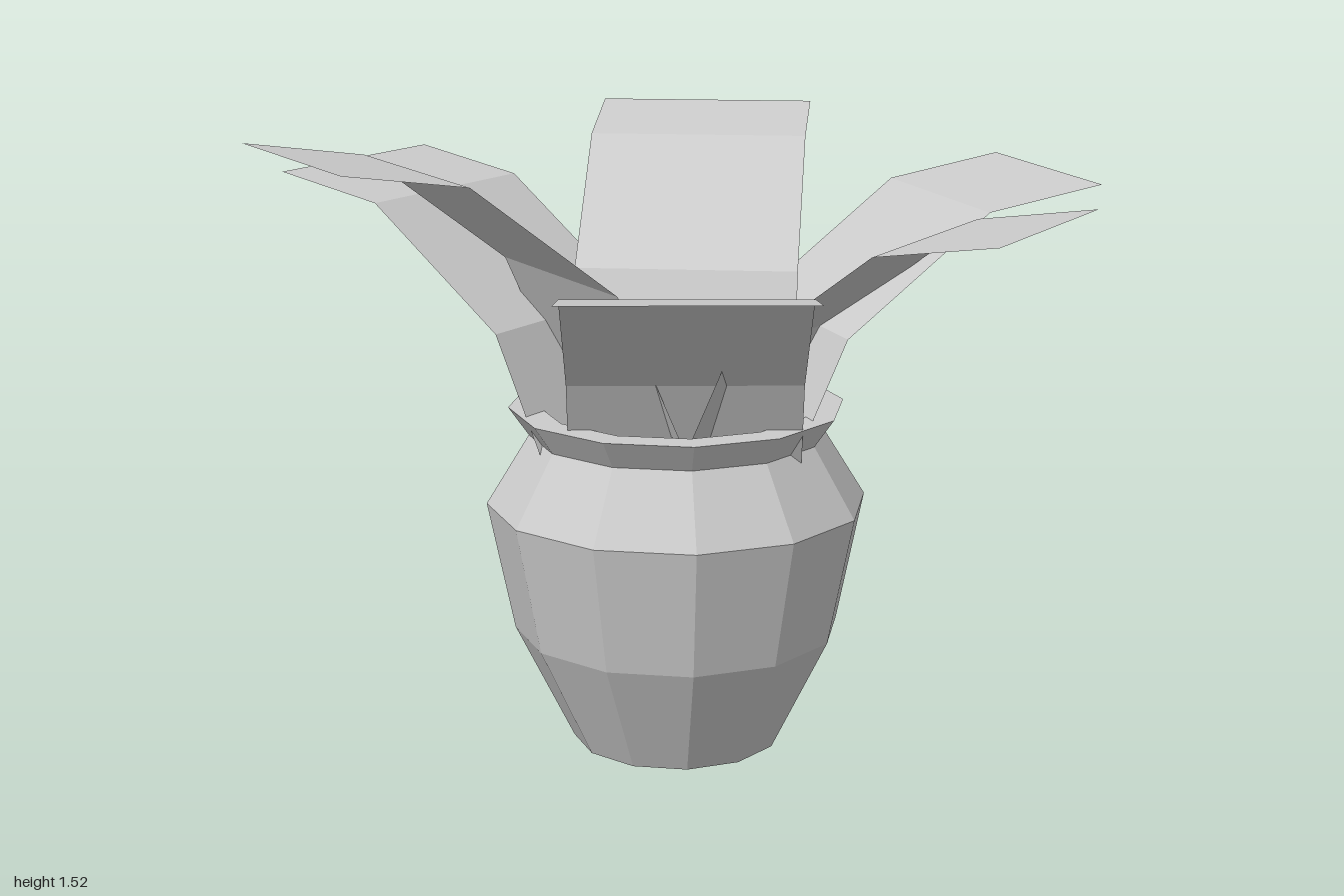
import * as THREE from 'three';

const grey = () => new THREE.MeshStandardMaterial({ color: 0xcccccc, flatShading: true });

// Leaf strip: tip at the origin, folding inwards (-x) and down to its base
const LEAF_PROFILE = [[0, 0], [-0.3, -0.05], [-0.665, -0.33], [-0.83, -0.69]];
const LEAF_WIDTH = 0.55;

function leafGeometry() {
  const geometry = new THREE.PlaneGeometry(LEAF_WIDTH, 1, 1, LEAF_PROFILE.length - 1);
  const pos = geometry.attributes.position;
  for (let i = 0; i < pos.count; i++) {
    const [x, y] = LEAF_PROFILE[Math.floor(i / 2)];
    pos.setXYZ(i, x, y, (i % 2 ? -0.5 : 0.5) * LEAF_WIDTH);
  }
  geometry.computeVertexNormals();
  return geometry;
}

export function createModel() {
  const model = new THREE.Group();
  model.name = 'pottedPlant';

  // Twelve-sided pot with a flared, hollow rim
  const potProfile = [
    [0, 0], [0.257, 0], [0.4, 0.29], [0.465, 0.61], [0.36, 0.78],
    [0.409, 0.85], [0.335, 0.85], [0.31, 0.72],
  ].map(([r, y]) => new THREE.Vector2(r, y));
  const pot = new THREE.Mesh(new THREE.LatheGeometry(potProfile, 12), grey());
  pot.name = 'pot';
  pot.rotation.y = Math.PI / 12;
  pot.position.set(0.007, 0, -0.045);
  model.add(pot);

  // Soil inside the rim
  const soil = new THREE.Mesh(new THREE.CircleGeometry(0.312, 12), grey());
  soil.name = 'soil';
  soil.rotation.set(-Math.PI / 2, 0, Math.PI / 12);
  soil.position.set(0.007, 0.722, -0.045);
  model.add(soil);

  // Six leaves: tip x, y, z and heading in degrees from +x towards +z
  const leaves = [
    [1.0, 1.37, -0.045, 0],
    [0.605, 1.37, 0.7, 51.7],
    [-0.315, 1.3, 0.875, 110.4],
    [-0.95, 1.52, 0.1, 169.5],
    [-0.583, 1.37, -0.82, 234.9],
    [0.37, 1.48, -0.775, 295.8],
  ];
  const geometry = leafGeometry();
  const leafMaterial = grey();
  leafMaterial.side = THREE.DoubleSide;
  leaves.forEach(([x, y, z, heading], i) => {
    const leaf = new THREE.Mesh(geometry, leafMaterial);
    leaf.name = `leaf${i + 1}`;
    leaf.position.set(x, y, z);
    leaf.rotation.y = -THREE.MathUtils.degToRad(heading);
    model.add(leaf);
  });

  return model;
}
